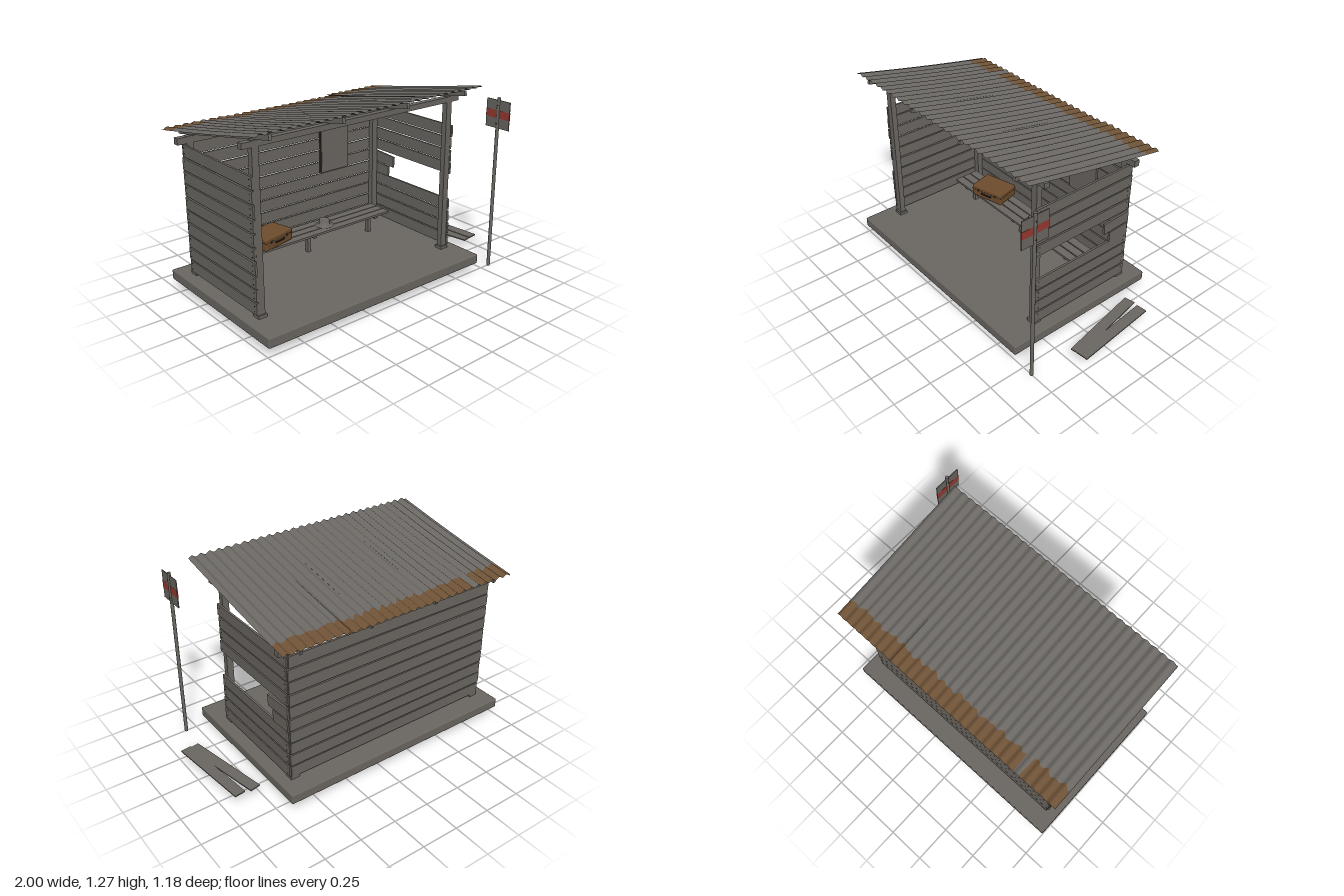
import * as THREE from 'three';
import { RoundedBoxGeometry } from 'three/addons/geometries/RoundedBoxGeometry.js';

const mat = (name, color) => {
  const m = new THREE.MeshStandardMaterial({ color });
  m.name = name;
  return m;
};

export function createModel() {
  const wood = mat('weathered grey', 0x6b6762);
  const metal = mat('roof grey', 0x6b6864);
  const rust = mat('rust', 0x6e5236);
  const red = mat('sign red', 0x963a30);
  const leather = mat('suitcase brown', 0x6e4c2c);
  const dark = mat('dark fittings', 0x2e2925);
  metal.side = rust.side = THREE.DoubleSide;

  const model = new THREE.Group();
  let seed = 7;
  const rnd = () => {
    seed = (seed * 16807) % 2147483647;
    return seed / 2147483647 - 0.5;
  };
  const group = (name) => {
    const g = new THREE.Group();
    g.name = name;
    model.add(g);
    return g;
  };
  const add = (parent, name, geo, material, x = 0, y = 0, z = 0) => {
    const m = new THREE.Mesh(geo, material);
    m.name = name;
    m.position.set(x, y, z);
    parent.add(m);
    return m;
  };
  // Box given by its extents on each axis
  const box = (parent, name, material, x0, x1, y0, y1, z0, z1) =>
    add(parent, name, new THREE.BoxGeometry(x1 - x0, y1 - y0, z1 - z0), material,
      (x0 + x1) / 2, (y0 + y1) / 2, (z0 + z1) / 2);

  // Concrete slab
  add(model, 'slab', new RoundedBoxGeometry(1.69, 0.066, 1.106, 1, 0.008), wood, -0.155, 0.093, -0.037);

  // Posts with feet, and the two long beams
  const frame = group('frame');
  for (const x of [-0.895, 0.583]) {
    for (const [z, top] of [[0.277, 1.19], [-0.437, 1.045]]) {
      box(frame, 'post', wood, x - 0.022, x + 0.022, 0.12, top, z - 0.019, z + 0.019);
      box(frame, 'postFoot', wood, x - 0.03, x + 0.03, 0.12, 0.146, z - 0.029, z + 0.029);
    }
  }
  box(frame, 'frontBeam', wood, -0.98, 0.665, 1.15, 1.185, 0.257, 0.297);
  box(frame, 'backBeam', wood, -0.98, 0.668, 1.0, 1.042, -0.457, -0.417);
  for (const x of [-0.89, -0.4, 0.088, 0.577]) {
    const r = add(frame, 'rafter', new THREE.BoxGeometry(0.02, 0.034, 1.0), wood, x, 1.141, -0.056);
    r.rotation.x = -0.19;
  }

  // Plank walls; two planks of the right wall are broken off
  const walls = group('plankWalls');
  const nail = new THREE.CylinderGeometry(0.003, 0.003, 0.004, 6).rotateZ(Math.PI / 2);
  for (let i = 0; i < 10; i++) {
    const y = 0.185 + i * 0.0852;
    const back = add(walls, 'backPlank', new THREE.BoxGeometry(1.54 + rnd() * 0.015, 0.077, 0.013), wood,
      -0.156, y, -0.463 + rnd() * 0.003);
    back.rotation.z = rnd() * 0.004;
    for (const side of [-1, 1]) {
      if (side === 1 && (i === 4 || i === 5)) continue;
      const x = -0.156 + side * 0.768;
      const p = add(walls, 'sidePlank', new THREE.BoxGeometry(0.014, 0.076, 0.757 + rnd() * 0.012), wood,
        x + rnd() * 0.003, y, -0.079 + rnd() * 0.006);
      p.rotation.x = rnd() * 0.006;
      for (const z of [0.277, -0.437])
        for (const dy of [-0.018, 0.018]) add(walls, 'nail', nail, dark, x + side * 0.0075, y + dy, z);
    }
  }
  for (const [y, z, len] of [[0.599, -0.355, 0.21], [0.514, -0.379, 0.155]]) {
    const stub = add(walls, 'brokenPlank', new THREE.BoxGeometry(0.014, 0.077, len), wood, 0.617, y, z);
    stub.rotation.x = 0.06;
  }

  // Planks fallen beside the shelter
  const fallen = group('fallenPlanks');
  for (const [x, y, turn, len] of [[0.853, 0.078, 0.187, 0.59], [0.932, 0.083, 0.103, 0.58]]) {
    const p = add(fallen, 'fallenPlank', new THREE.BoxGeometry(0.072, 0.008, len), wood, x, y, -0.064);
    p.rotation.set(0.007, turn, 0);
  }

  // Corrugated roof sheets with a ragged rusty strip along the low edge
  const roof = group('roof');
  const zFront = 0.452, zBack = -0.574;
  const rustEdge = (x) => {
    if (x > -0.73 && x < -0.69) return zBack;
    return -0.458 + 0.012 * Math.sin(x * 41) * Math.sin(x * 17 + 1) + 0.008 * Math.sin(x * 97)
      + (x < -0.58 ? 0.012 : 0);
  };
  const sheetPart = (name, material, x0, x1, lift, zFrom, zTo) => {
    const cols = Math.round((x1 - x0) / 0.0075);
    const g = new THREE.PlaneGeometry(1, 1, cols, 6);
    const p = g.attributes.position;
    for (let i = 0; i < p.count; i++) {
      const x = x0 + (p.getX(i) + 0.5) * (x1 - x0);
      const z = THREE.MathUtils.lerp(zTo(x), zFrom(x), p.getY(i) + 0.5);
      const t = (zFront - z) / (zFront - zBack);
      const y = 1.265 - 0.197 * t - 0.006 * Math.sin(Math.PI * t) + lift * t
        + 0.0075 * Math.sin((x * Math.PI * 2) / 0.061);
      p.setXYZ(i, x, y, z);
    }
    g.computeVertexNormals();
    add(roof, name, g, material);
  };
  for (const [x0, x1, lift] of [[-1, -0.57, 0.004], [-0.58, 0.285, 0], [0.265, 0.71, 0.011]]) {
    sheetPart('roofSheet', metal, x0, x1, lift, () => zFront, rustEdge);
    sheetPart('rustyEdge', rust, x0, x1, lift, rustEdge, () => zBack);
  }

  // Bench of three slats on three legs
  const bench = group('bench');
  for (let i = 0; i < 3; i++) {
    const z = -0.315 + i * 0.065;
    box(bench, 'benchSlat', wood, -0.8, 0.49, 0.267, 0.282, z - 0.029, z + 0.029);
  }
  for (const x of [-0.69, -0.157, 0.377]) {
    box(bench, 'benchLeg', wood, x - 0.013, x + 0.013, 0.12, 0.268, -0.266, -0.236);
    box(bench, 'benchCrossbar', wood, x - 0.013, x + 0.013, 0.25, 0.268, -0.335, -0.165);
  }

  // Suitcase lying on the bench
  const suitcase = group('suitcase');
  suitcase.position.set(-0.468, 0.283, -0.25);
  suitcase.rotation.y = 0.25;
  add(suitcase, 'caseBody', new RoundedBoxGeometry(0.253, 0.08, 0.18, 2, 0.008), leather, 0, 0.041, 0);
  box(suitcase, 'lidSeam', dark, -0.1275, 0.1275, 0.053, 0.056, -0.091, 0.091);
  box(suitcase, 'handle', dark, -0.035, 0.035, 0.036, 0.043, 0.092, 0.102);
  for (const s of [-1, 1]) {
    box(suitcase, 'handleMount', dark, s * 0.036 - 0.004, s * 0.036 + 0.004, 0.034, 0.046, 0.088, 0.1);
    box(suitcase, 'clasp', dark, s * 0.075 - 0.008, s * 0.075 + 0.008, 0.045, 0.06, 0.088, 0.093);
  }

  // Hat left on the bench
  const hat = [[0, 0], [0.063, 0.003], [0.065, 0.007], [0.038, 0.008], [0.035, 0.044], [0.028, 0.05], [0, 0.046]];
  add(model, 'hat', new THREE.LatheGeometry(hat.map(([r, y]) => new THREE.Vector2(r, y)), 24), wood,
    -0.025, 0.283, -0.24);

  // Notice board on the back wall
  const board = group('noticeBoard');
  box(board, 'boardPanel', wood, 0.112, 0.346, 0.577, 0.9, -0.45, -0.436);
  box(board, 'boardEdge', dark, 0.106, 0.112, 0.577, 0.893, -0.455, -0.438);

  // Stop sign: pole, plate, red band and bolts
  const sign = group('stopSign');
  add(sign, 'pole', new THREE.CylinderGeometry(0.0115, 0.0115, 1.18, 12), wood, 0.824, 0.59, 0.5);
  box(sign, 'signPlate', wood, 0.821, 0.827, 0.978, 1.164, 0.405, 0.594);
  box(sign, 'signBand', red, 0.82, 0.828, 1.045, 1.096, 0.404, 0.595);
  for (const y of [1.01, 1.13]) {
    const bolt = add(sign, 'bolt', new THREE.CylinderGeometry(0.004, 0.004, 0.03, 6), dark, 0.824, y, 0.5);
    bolt.rotation.z = Math.PI / 2;
  }
  return model;
}
